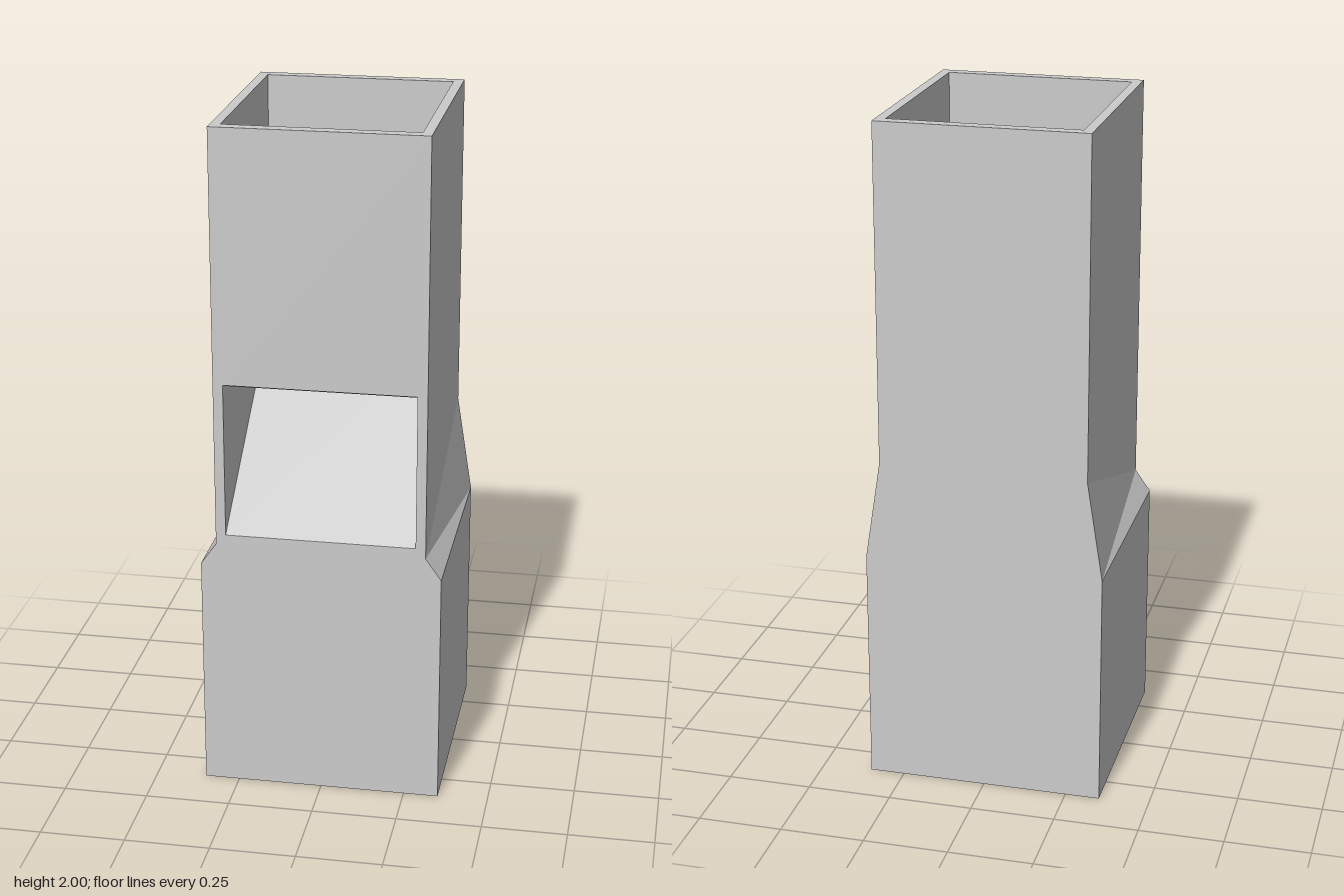
import * as THREE from 'three';

// Outer half widths, cavity half sizes and key heights
const W = 0.352, N = 0.306, D = 0.352, IX = 0.277, IZ = 0.316, TOP = 2;
const SHOULDER = 0.705, FRONT_NECK = 0.77, BACK_NECK = 1.0;
const SILL = 0.8, LINTEL = 1.26, LINTEL_IN = 1.245, RAMP_TOP = 1.26;

const material = new THREE.MeshStandardMaterial({ color: 0xcccccc, flatShading: true });

// Flat-shaded mesh from counter-clockwise polygons, each split as a fan
function facesMesh(name, polygons) {
  const pos = [];
  for (const p of polygons)
    for (let i = 1; i < p.length - 1; i++) pos.push(...p[0], ...p[i], ...p[i + 1]);
  const geo = new THREE.BufferGeometry();
  geo.setAttribute('position', new THREE.Float32BufferAttribute(pos, 3));
  geo.computeVertexNormals();
  return named(name, geo);
}

function named(name, geo) {
  const mesh = new THREE.Mesh(geo, material);
  mesh.name = name;
  return mesh;
}

// Mirror polygons across x, keeping them facing outward
const mirrored = (polys) => polys.map((p) => p.map(([x, y, z]) => [-x, y, z]).reverse());

const rect = (hw, y0, y1) => [[-hw, y0], [hw, y0], [hw, y1], [-hw, y1]].map((p) => new THREE.Vector2(...p));

// Outline of the front or back: wide base, sloping shoulder, narrower shaft
function outline(neck) {
  return new THREE.Shape([
    [-W, 0], [W, 0], [W, SHOULDER], [N, neck], [N, TOP], [-N, TOP], [-N, neck], [-W, SHOULDER],
  ].map((p) => new THREE.Vector2(...p)));
}

export function createModel() {
  const group = new THREE.Group();
  group.name = 'chute';

  // Front with the outlet cut through it
  const front = outline(FRONT_NECK);
  front.holes.push(new THREE.Path(rect(IX, SILL, LINTEL)));
  group.add(named('frontPanel', new THREE.ShapeGeometry(front).translate(0, 0, D)));

  // Plain back
  group.add(named('backPanel', new THREE.ShapeGeometry(outline(BACK_NECK)).rotateY(Math.PI).translate(0, 0, -D)));

  // Underside
  group.add(named('base', new THREE.PlaneGeometry(2 * W, 2 * D).rotateX(Math.PI / 2)));

  // Rim around the top inlet
  const rim = new THREE.Shape(rect(N, -D, D));
  rim.holes.push(new THREE.Path(rect(IX, -IZ, IZ)));
  group.add(named('topRim', new THREE.ShapeGeometry(rim).rotateX(-Math.PI / 2).translate(0, TOP, 0)));

  // Side: base wall, two folded shoulder triangles, shaft wall
  const side = [
    [[W, 0, D], [W, 0, -D], [W, SHOULDER, -D], [W, SHOULDER, D]],
    [[W, SHOULDER, D], [W, SHOULDER, -D], [N, FRONT_NECK, D]],
    [[W, SHOULDER, -D], [N, BACK_NECK, -D], [N, FRONT_NECK, D]],
    [[N, FRONT_NECK, D], [N, BACK_NECK, -D], [N, TOP, -D], [N, TOP, D]],
  ];
  group.add(facesMesh('leftSide', side), facesMesh('rightSide', mirrored(side)));

  // Cavity side wall, reaching forward through the outlet
  const inner = [
    [[IX, LINTEL_IN, IZ], [IX, RAMP_TOP, -IZ], [IX, SILL, D], [IX, LINTEL, D]].reverse(),
    [[IX, LINTEL_IN, IZ], [IX, TOP, IZ], [IX, TOP, -IZ], [IX, RAMP_TOP, -IZ]].reverse(),
  ].map((p) => [p[3], p[0], p[1], p[2]]).map((p) => [...p].reverse()).map((p) => [p[3], p[0], p[1], p[2]]);
  // Face both walls into the cavity
  const facing = inner.map((p) => {
    const [a, b, c] = p.map((v) => new THREE.Vector3(...v));
    return b.sub(a).cross(c.sub(a)).x < 0 ? p : [p[0], ...p.slice(1).reverse()];
  });
  group.add(facesMesh('innerLeftWall', facing), facesMesh('innerRightWall', mirrored(facing).map((p) => [p[3], p[0], p[1], p[2]])));

  // Cavity back, cavity front above the outlet, and the outlet's lintel
  group.add(facesMesh('innerBackWall', [
    [[-IX, RAMP_TOP, -IZ], [IX, RAMP_TOP, -IZ], [IX, TOP, -IZ], [-IX, TOP, -IZ]],
  ]));
  group.add(facesMesh('innerFrontWall', [
    [[IX, LINTEL_IN, IZ], [-IX, LINTEL_IN, IZ], [-IX, TOP, IZ], [IX, TOP, IZ]],
  ]));
  group.add(facesMesh('outletLintel', [
    [[-IX, LINTEL_IN, IZ], [IX, LINTEL_IN, IZ], [IX, LINTEL, D], [-IX, LINTEL, D]],
  ]));

  // Ramp from the back of the cavity down to the outlet sill
  group.add(facesMesh('ramp', [
    [[-IX, SILL, D], [IX, SILL, D], [IX, RAMP_TOP, -IZ], [-IX, RAMP_TOP, -IZ]],
  ]));
  return group;
}
